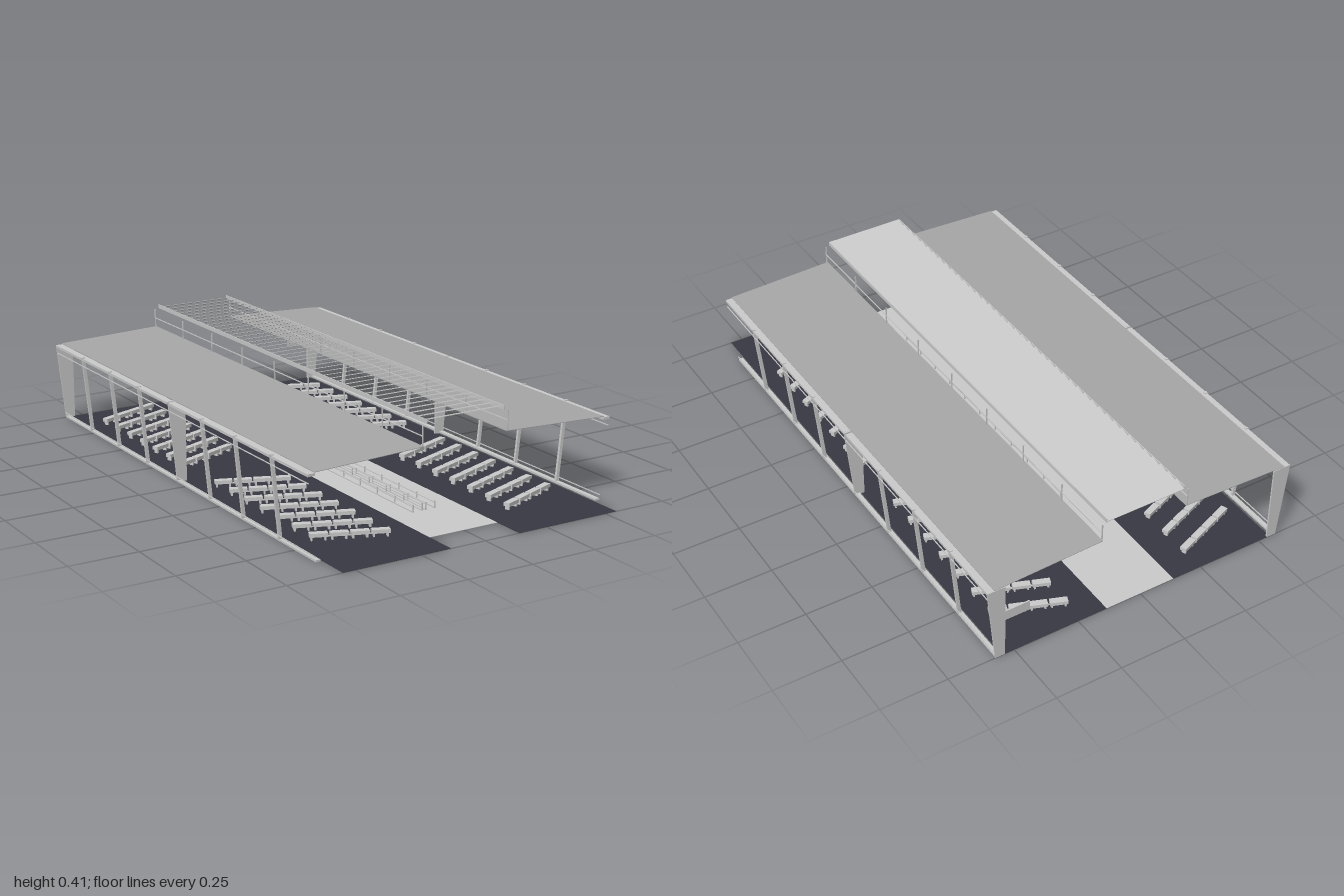
import * as THREE from 'three';

const make = (color) => new THREE.MeshStandardMaterial({ color, side: THREE.DoubleSide, flatShading: true });
const grey = make(0xcccccc), roofGrey = make(0xa8a8a8), dark = make(0x383844);

const BACK = -1, FRONT = 0.88, MID = -0.06;

function add(parent, name, geometry, material = grey) {
  const mesh = new THREE.Mesh(geometry, material);
  mesh.name = name;
  parent.add(mesh);
  return mesh;
}

// Box given by its limits on each axis
function box(parent, name, x0, x1, y0, y1, z0, z1, material) {
  const mesh = add(parent, name, new THREE.BoxGeometry(Math.abs(x1 - x0), y1 - y0, z1 - z0), material);
  mesh.position.set((x0 + x1) / 2, (y0 + y1) / 2, (z0 + z1) / 2);
  return mesh;
}

// Outline in the x-y plane, drawn out along z
function profile(parent, name, points, z0, z1, material) {
  const shape = new THREE.Shape(points.map(([x, y]) => new THREE.Vector2(x, y)));
  const geometry = new THREE.ExtrudeGeometry(shape, { depth: z1 - z0, bevelEnabled: false });
  return add(parent, name, geometry.translate(0, 0, z0), material);
}

// Four joined blocks on small feet
function makeSeatRow() {
  const row = new THREE.Group();
  row.name = 'seatRow';
  for (let i = 0; i < 4; i++) {
    const x = (i - 1.5) * 0.069;
    box(row, 'seat', x - 0.031, x + 0.031, 0.014, 0.027, -0.012, 0.012);
    for (const fx of [-0.023, 0.023]) box(row, 'seatFoot', x + fx - 0.003, x + fx + 0.003, 0.001, 0.014, -0.008, 0.008);
  }
  box(row, 'seatRail', -0.13, 0.13, 0.011, 0.014, -0.003, 0.003);
  return row;
}

export function createModel() {
  const model = new THREE.Group();
  model.name = 'openHall';

  // Floor
  box(model, 'centreFloor', -0.137, 0.137, 0, 0.001, BACK, FRONT);

  for (const s of [-1, 1]) {
    const side = new THREE.Group();
    side.name = s > 0 ? 'leftSide' : 'rightSide';
    model.add(side);
    const outline = (name, pts, z0, z1, material) =>
      profile(side, name, pts.map(([x, y]) => [s * x, y]), z0, z1, material);

    box(side, 'darkFloor', s * 0.137, s * 0.547, 0, 0.001, BACK, 1, dark);

    // Gently sloping roof
    outline('roof', [[0.165, 0.314], [0.577, 0.299], [0.577, 0.301], [0.165, 0.316]], BACK, FRONT, roofGrey);

    // Tapered columns at the back and the middle
    for (const z of [BACK, MID])
      outline('column', [[0.535, 0], [0.572, 0], [0.603, 0.297], [0.535, 0.297]], z, z + 0.006);

    // Leaning posts
    for (const z of [-0.765, -0.53, -0.295, 0.18, 0.41, 0.65])
      outline('post', [[0.56, 0], [0.572, 0], [0.603, 0.3], [0.591, 0.3]], z - 0.005, z + 0.005);

    // Edge beams, base beam and long thin rails
    for (const [z0, z1] of [[BACK, MID - 0.007], [MID + 0.007, FRONT]])
      box(side, 'edgeBeam', s * 0.575, s * 0.602, 0.288, 0.297, z0, z1);
    box(side, 'baseBeam', s * 0.555, s * 0.572, 0.001, 0.008, BACK, FRONT);
    box(side, 'lowerRail', s * 0.572, s * 0.575, 0.018, 0.021, BACK, FRONT);
    box(side, 'upperRail', s * 0.597, s * 0.6, 0.264, 0.267, BACK, FRONT);

    // Light frame between roof and canopy
    box(side, 'canopyRail', s * 0.168, s * 0.171, 0.349, 0.352, BACK, FRONT);
    for (let i = 0; i <= 8; i++) {
      const z = BACK + (i * (FRONT - BACK - 0.002)) / 8;
      box(side, 'canopyUpright', s * 0.167, s * 0.172, 0.315, 0.386, z, z + 0.002);
    }
    box(side, 'canopyEdge', s * 0.152, s * 0.155, 0.389, 0.404, BACK, FRONT);

    // Slanted seat rows, the front and back blocks mirrored
    for (const f of [-1, 1]) {
      for (let i = 0; i < 7; i++) {
        const row = makeSeatRow();
        row.position.set(s * 0.362, 0, MID + f * (0.49 + (i - 3) * 0.106));
        row.rotation.y = s * f * 0.37;
        side.add(row);
      }
    }

    // Low barriers along the centre
    for (const x of [0.008, 0.045]) {
      box(side, 'barrierBase', s * (x - 0.004), s * (x + 0.004), 0.001, 0.005, -0.45, 0.65);
      box(side, 'barrierRail', s * (x - 0.0015), s * (x + 0.0015), 0.019, 0.022, -0.45, 0.65);
      for (let i = 0; i <= 10; i++) {
        const z = -0.448 + i * 0.1096;
        box(side, 'barrierPost', s * (x - 0.002), s * (x + 0.002), 0.005, 0.028, z - 0.002, z + 0.002);
      }
    }
  }

  // Louvred canopy over the centre
  const slats = 42, pitch = (FRONT - BACK) / slats;
  for (let i = 0; i < slats; i++) {
    const z = BACK + (i + 0.5) * pitch;
    const slat = box(model, 'canopySlat', -0.154, 0.154, 0.3965, 0.3985, z - pitch / 2, z + pitch / 2);
    slat.rotation.x = -0.3;
  }

  // Hanging panel on the back column
  box(model, 'signPanel', 0.442, 0.535, 0.152, 0.19, BACK, BACK + 0.005);

  return model;
}
